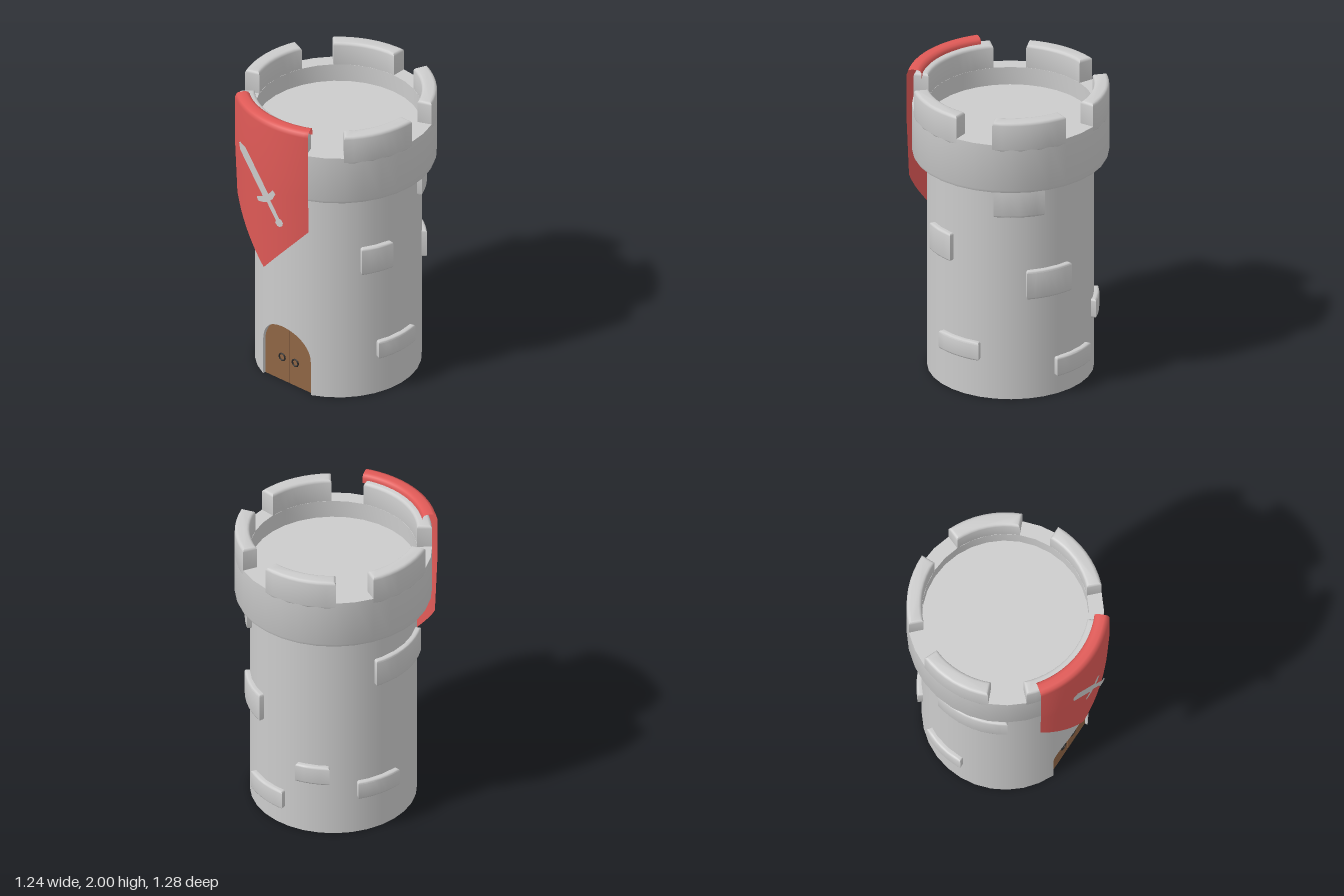
import * as THREE from 'three';
import { toCreasedNormals } from 'three/addons/utils/BufferGeometryUtils.js';

const RAD = Math.PI / 180;
const R = 0.525;            // wall radius
const DOOR = { half: 0.2, spring: 0.24, rise: 0.2, z: 0.465 };
const paint = (color, side = THREE.FrontSide) => new THREE.MeshStandardMaterial({ color, side });
const stone = paint(0xcccccc);
const stoneOpen = paint(0xcccccc, THREE.DoubleSide);
const red = paint(0xe05a57, THREE.DoubleSide);
const wood = paint(0x8f6545);
const iron = paint(0x2a2a2a);

function add(parent, name, geometry, material) {
  const mesh = new THREE.Mesh(geometry, material);
  mesh.name = name;
  parent.add(mesh);
  return mesh;
}

// A grid whose vertices are placed by rule(column, row) -> [x, y, z]
function sheet(cols, rows, rule) {
  const g = new THREE.PlaneGeometry(1, 1, cols, rows);
  for (let j = 0; j <= rows; j++)
    for (let i = 0; i <= cols; i++)
      g.attributes.position.setXYZ(j * (cols + 1) + i, ...rule(i, j));
  g.computeVertexNormals();
  return g;
}

// Curved stone with rounded edges; angles in degrees from +z towards +x
function arcBlock(r0, r1, a0, a1, y0, y1, bevel) {
  const n = Math.max(2, Math.round((a1 - a0) / 5.625));
  const arc = (r) => Array.from({ length: n + 1 }, (_, i) => {
    const a = (a0 + (a1 - a0) * i / n) * RAD;
    return new THREE.Vector2(r * Math.sin(a), -r * Math.cos(a));
  });
  const shape = new THREE.Shape([...arc(r1), ...arc(r0).reverse()]);
  const g = new THREE.ExtrudeGeometry(shape, {
    depth: y1 - y0 - 2 * bevel, bevelEnabled: true, bevelThickness: bevel,
    bevelSize: bevel, bevelOffset: -bevel, bevelSegments: 3,
  });
  g.rotateX(-Math.PI / 2).translate(0, y0 + bevel, 0);
  return toCreasedNormals(g, 0.6);
}

const archY = (x) => DOOR.spring + DOOR.rise * Math.sqrt(Math.max(0, 1 - (x / DOOR.half) ** 2));

function buildWall(group) {
  // Columns around the wall: [angle, lower edge], raised over the doorway
  const edge = Math.asin(DOOR.half / R);
  const columns = [[-edge, 0]];
  for (let i = 0; i <= 24; i++) {
    const x = -DOOR.half * Math.cos(Math.PI * i / 24);
    columns.push([Math.asin(x / R), archY(x)]);
  }
  for (let i = 0; i <= 28; i++) columns.push([edge + (2 * Math.PI - 2 * edge) * i / 28, 0]);
  const wall = sheet(columns.length - 1, 1, (i, j) => {
    const [a, low] = columns[i];
    return [R * Math.sin(a), j ? low : 1.49, R * Math.cos(a)];
  });
  const p = wall.attributes.position;
  for (let i = 0; i < p.count; i++) wall.attributes.normal.setXYZ(i, p.getX(i) / R, 0, p.getZ(i) / R);
  add(group, 'towerWall', wall, stone);

  // Sides and arch of the doorway
  const rim = columns.slice(0, 26).concat([[edge, 0]]);
  add(group, 'doorway', sheet(rim.length - 1, 1, (i, j) => {
    const [a, y] = rim[i];
    return [R * Math.sin(a), y, j ? DOOR.z - 0.01 : R * Math.cos(a)];
  }), stoneOpen);

  // Underside, notched at the doorway
  const base = columns.slice(26).map(([a]) => new THREE.Vector2(R * Math.sin(a), R * Math.cos(a)));
  base.push(new THREE.Vector2(-DOOR.half, DOOR.z), new THREE.Vector2(DOOR.half, DOOR.z));
  add(group, 'towerBase', new THREE.ShapeGeometry(new THREE.Shape(base)).rotateX(Math.PI / 2), stone);
}

function buildDoor(group) {
  const door = new THREE.Group();
  door.name = 'door';
  for (const s of [-1, 1]) {
    const gap = 0.003;
    const pts = [new THREE.Vector2(s * gap, 0), new THREE.Vector2(s * DOOR.half, 0)];
    for (let i = 0; i <= 12; i++) {
      const x = Math.max(gap, DOOR.half * Math.cos(Math.PI / 2 * i / 12));
      pts.push(new THREE.Vector2(s * x, archY(x)));
    }
    const leaf = new THREE.ExtrudeGeometry(new THREE.Shape(pts), { depth: 0.02, bevelEnabled: false });
    add(door, 'doorLeaf', leaf.translate(0, 0, DOOR.z - 0.02), wood);
    const ring = add(door, 'doorRing', new THREE.TorusGeometry(0.024, 0.005, 8, 20), iron);
    ring.position.set(s * 0.055, 0.17, DOOR.z + 0.004);
  }
  add(door, 'doorBacking', new THREE.BoxGeometry(0.03, 0.43, 0.01).translate(0, 0.215, DOOR.z - 0.015), wood);
  group.add(door);
}

function buildCrown(group) {
  const profile = [
    [0.51, 1.47], [0.595, 1.47], [0.612, 1.478], [0.62, 1.497], [0.62, 1.81],
    [R, 1.81], [R, 1.69], [0.001, 1.69],
  ].map(([x, y]) => new THREE.Vector2(x, y));
  add(group, 'crown', toCreasedNormals(new THREE.LatheGeometry(profile, 32), 0.6), stone);
  // Battlements: the front one is wider
  for (const [a0, a1] of [[-45, 22.5], [45, 90], [112.5, 157.5], [180, 225], [247.5, 292.5]])
    add(group, 'battlement', arcBlock(R, 0.62, a0, a1, 1.76, 1.965, 0.02), stone);
}

function buildBricks(group) {
  const bricks = [ // start angle, end angle, bottom, top
    [57, 80, 0.9, 1.09], [69, 102, 0.26, 0.385], [112, 146, 1.275, 1.48],
    [134, 167, 0.7, 0.895], [155, 188, 0.13, 0.26], [198, 221, 0.38, 0.51],
    [240, 272, 0.26, 0.385], [253, 304, 1.085, 1.275],
  ];
  for (const [a0, a1, y0, y1] of bricks)
    add(group, 'raisedBrick', arcBlock(0.49, 0.557, a0, a1, y0, y1, 0.014), stone);
}

function buildBanner(group) {
  // Hook over the battlement, then the hanging cloth with a pointed hem
  const hook = [[0.565, 1.94], [0.565, 1.975], [0.575, 1.993], [0.595, 2], [0.63, 2],
    [0.65, 1.992], [0.66, 1.965], [0.66, 1.64]];
  const cols = 24, drop = 4;
  add(group, 'banner', sheet(cols, hook.length - 1 + drop, (i, j) => {
    const u = i / cols, a = (-37.6 + 62.4 * u) * RAD;
    let [r, y] = hook[Math.min(j, hook.length - 1)];
    if (j >= hook.length) {
      const hem = 0.895 + 0.375 * Math.abs(2 * u - 1);
      y = 1.64 + (hem - 1.64) * (j - hook.length + 1) / drop;
      r = 0.66 - 0.03 * (1.64 - y) / 0.74;
    }
    return [r * Math.sin(a), y, r * Math.cos(a)];
  }), red);

  // Flat sword emblem: half outline as [half width, distance from the tip]
  const half = [[0.006, 0], [0.028, 0.045], [0.028, 0.372], [0.082, 0.36], [0.09, 0.388],
    [0.045, 0.412], [0.018, 0.415], [0.018, 0.545], [0.032, 0.555], [0.03, 0.58], [0.012, 0.594]];
  const outline = [...half.map(([w, s]) => new THREE.Vector2(w, -s)),
    ...half.map(([w, s]) => new THREE.Vector2(-w, -s)).reverse()];
  const sword = add(group, 'swordEmblem', new THREE.ShapeGeometry(new THREE.Shape(outline)), stoneOpen);
  sword.position.set(-0.24, 1.762, 0.662);
  sword.rotation.z = 0.623;
}

export function createModel() {
  const tower = new THREE.Group();
  tower.name = 'tower';
  tower.position.z = -0.025;
  for (const build of [buildWall, buildDoor, buildCrown, buildBricks, buildBanner]) build(tower);
  const model = new THREE.Group();
  model.name = 'castleTower';
  model.add(tower);
  return model;
}
